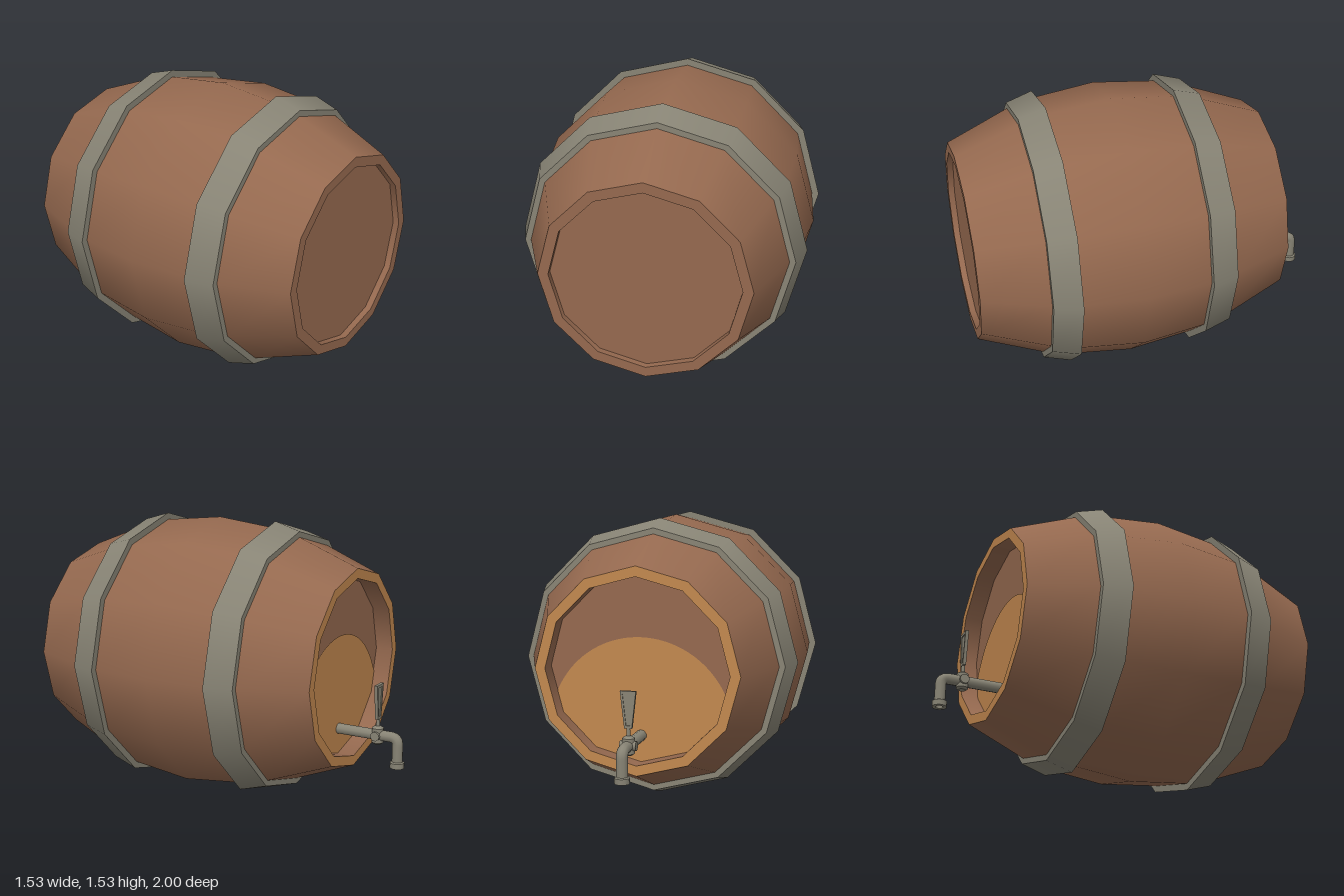
import * as THREE from 'three';

const AXIS_Y = 0.767; // height of the barrel's axis

function material(name, color) {
  const m = new THREE.MeshStandardMaterial({ color });
  m.name = name;
  return m;
}

export function createModel() {
  const wood = material('brown wood', 0x95694f);
  const cutWood = material('cut wood', 0xc2884f);
  const metal = material('grey metal', 0x888475);

  const model = new THREE.Group();
  model.name = 'barrelWithTap';

  const add = (parent, name, geometry, mat, x = 0, y = 0, z = 0) => {
    const mesh = new THREE.Mesh(geometry, mat);
    mesh.name = name;
    mesh.position.set(x, y, z);
    parent.add(mesh);
    return mesh;
  };

  // Twelve-sided surface of revolution round the z axis, from [radius, z] pairs
  const spin = (points) => {
    const g = new THREE.LatheGeometry(points.map(([r, z]) => new THREE.Vector2(r, z)), 12);
    return g.rotateX(Math.PI / 2);
  };
  // One piece per profile segment, so that the edges between them stay sharp
  const spinSharp = (parent, name, points, mat) => {
    for (let i = 0; i < points.length - 1; i++) add(parent, name, spin([points[i], points[i + 1]]), mat);
  };

  const barrel = new THREE.Group();
  barrel.name = 'barrel';
  barrel.position.y = AXIS_Y;
  model.add(barrel);

  // Bulging staves
  add(barrel, 'staves', spin([
    [0.55, -0.7], [0.688, -0.35], [0.727, -0.2], [0.766, 0.15],
    [0.727, 0.5], [0.688, 0.65], [0.55, 1],
  ]), wood);

  // Front rim and shallow lid
  spinSharp(barrel, 'frontLid', [[0.55, 1], [0.495, 1], [0.495, 0.965], [0, 0.965]], wood);

  // Back rim and deeper lid
  const floorZ = -0.6;
  spinSharp(barrel, 'backLid', [[0, floorZ], [0.495, floorZ], [0.495, -0.7]], wood);
  add(barrel, 'backRim', spin([[0.495, -0.7], [0.55, -0.7]]), cutWood);

  // Paler rounded area on the lower part of the back lid
  const pale = new THREE.Shape();
  pale.absarc(0, -0.33, 0.5, 0.405, Math.PI - 0.405, false);
  for (let k = 7; k <= 11; k++) {
    const a = k * Math.PI / 6;
    pale.lineTo(0.495 * Math.cos(a), 0.495 * Math.sin(a));
  }
  add(barrel, 'backLidPalePanel', new THREE.ShapeGeometry(pale, 24).rotateY(Math.PI), cutWood, 0, 0, floorZ - 0.004);

  // Two hoops, mirrored about the middle of the barrel
  const hoop = [[0.72, 0.5], [0.765, 0.35], [0.72, 0.35], [0.68, 0.5]];
  for (const side of [1, -1]) {
    let ring = hoop.map(([r, d]) => [r, 0.15 + side * d]);
    ring.push(ring[0]);
    if (side === 1) ring = ring.reverse();
    spinSharp(barrel, side === 1 ? 'frontHoop' : 'backHoop', ring, metal);
  }

  // Tap
  const tap = new THREE.Group();
  tap.name = 'tap';
  model.add(tap);
  const pipeY = 0.415, valveZ = -0.84, spoutZ = -0.958;

  const path = new THREE.CurvePath();
  const v = (y, z) => new THREE.Vector3(0, y, z);
  path.add(new THREE.LineCurve3(v(pipeY, floorZ + 0.01), v(pipeY, spoutZ + 0.04)));
  path.add(new THREE.QuadraticBezierCurve3(v(pipeY, spoutZ + 0.04), v(pipeY, spoutZ), v(pipeY - 0.04, spoutZ)));
  path.add(new THREE.LineCurve3(v(pipeY - 0.04, spoutZ), v(0.27, spoutZ)));
  add(tap, 'pipe', new THREE.TubeGeometry(path, 40, 0.03, 10, false), metal);

  // Spout collar with a hollow mouth
  const collar = [[0, 0.03], [0.02, 0.03], [0.02, 0], [0.04, 0], [0.04, 0.03], [0.028, 0.036]];
  for (let i = 0; i < collar.length - 1; i++) {
    const pts = [collar[i], collar[i + 1]].map(([r, y]) => new THREE.Vector2(r, y));
    add(tap, 'spoutCollar', new THREE.LatheGeometry(pts, 10), metal, 0, 0.248, spoutZ);
  }

  // Valve body: an upright barrel with a cross piece
  add(tap, 'valveBody', new THREE.CylinderGeometry(0.033, 0.033, 0.08, 10), metal, 0, pipeY, valveZ);
  add(tap, 'valveCap', new THREE.CylinderGeometry(0.015, 0.033, 0.012, 10), metal, 0, pipeY + 0.046, valveZ);
  add(tap, 'valveFoot', new THREE.CylinderGeometry(0.033, 0.02, 0.01, 10), metal, 0, pipeY - 0.045, valveZ);
  const cross = add(tap, 'valveCrossPiece', new THREE.CylinderGeometry(0.026, 0.026, 0.086, 10), metal, 0, pipeY, valveZ);
  cross.rotation.z = Math.PI / 2;

  // Handle: a stem and a widening paddle with a sunken middle
  add(tap, 'handleStem', new THREE.CylinderGeometry(0.009, 0.012, 0.06, 8), metal, 0, 0.485, valveZ);
  const trapezoid = (Type, low, high, y0, y1) => new Type([
    [-low, y0], [low, y0], [high, y1], [-high, y1],
  ].map(([x, y]) => new THREE.Vector2(x, y)));
  const frame = trapezoid(THREE.Shape, 0.02, 0.042, 0.505, 0.698);
  frame.holes.push(trapezoid(THREE.Path, 0.011, 0.029, 0.52, 0.682));
  const panel = trapezoid(THREE.Shape, 0.013, 0.032, 0.515, 0.69);
  const plate = (shape, depth) =>
    new THREE.ExtrudeGeometry(shape, { depth, bevelEnabled: false }).translate(0, 0, -depth / 2);
  add(tap, 'handleFrame', plate(frame, 0.018), metal, 0, 0, valveZ);
  add(tap, 'handlePanel', plate(panel, 0.008), metal, 0, 0, valveZ);

  return model;
}
